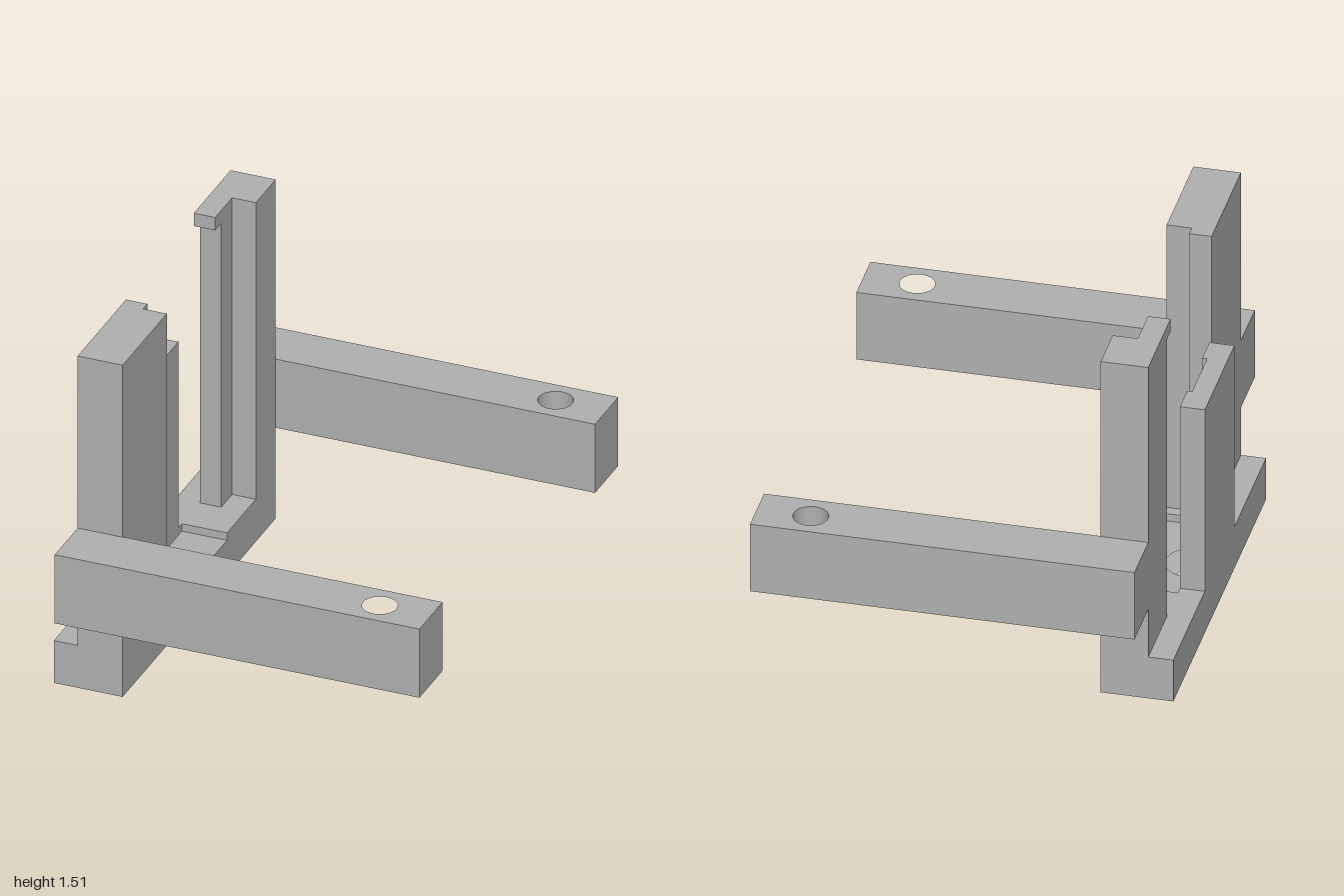
import * as THREE from 'three';

const BACK = -0.82, MID = -0.72, LIP = -0.63, FRONT = -0.53; // x planes of the upright frame
const GROOVE = -0.74;
const SCREW_X = -0.71;

export function createModel() {
  const model = new THREE.Group();
  model.name = 'holderBracket';
  const grey = new THREE.MeshStandardMaterial({ color: 0xb0b0b0 });
  grey.name = 'grey';

  // Extrude a plan outline of [x, z] points upward from y0 to y1, with round holes [x, z, r]
  function slab(name, points, y0, y1, holes = []) {
    const shape = new THREE.Shape(points.map(([x, z]) => new THREE.Vector2(x, -z)));
    for (const [x, z, r] of holes) {
      shape.holes.push(new THREE.Path().absarc(x, -z, r, 0, Math.PI * 2, true));
    }
    const geo = new THREE.ExtrudeGeometry(shape, {
      depth: y1 - y0, bevelEnabled: false, curveSegments: 24,
    });
    geo.rotateX(-Math.PI / 2);
    geo.translate(0, y0, 0);
    const mesh = new THREE.Mesh(geo, grey);
    mesh.name = name;
    model.add(mesh);
  }

  const rect = (x0, x1, z0, z1) => [[x0, z0], [x1, z0], [x1, z1], [x0, z1]];

  // Round pocket around the screw axis, cut into a wall whose face is at faceX
  function pocket(faceX, r) {
    const a = Math.acos((faceX - SCREW_X) / r);
    const pts = [];
    for (let i = 0; i <= 24; i++) {
      const t = a + (2 * Math.PI - 2 * a) * i / 24;
      pts.push([SCREW_X + r * Math.cos(t), r * Math.sin(t)]);
    }
    return pts;
  }

  // Base: screw hole, counterbore, then a shallow recess in the top
  const plan = rect(BACK, FRONT, -0.77, 0.77);
  slab('baseBottom', plan, 0, 0.1, [[SCREW_X, 0, 0.055]]);
  slab('baseCounterbore', plan, 0.1, 0.155, [[SCREW_X, 0, 0.105]]);
  slab('baseRecess', [
    [BACK, 0.77], [FRONT, 0.77], [FRONT, 0.28], [MID, 0.28],
    ...pocket(MID, 0.105),
    [MID, -0.28], [FRONT, -0.28], [FRONT, -0.77], [BACK, -0.77],
  ], 0.155, 0.188);

  // Back panel with a shallow vertical groove and screw clearance at its foot
  const panel = (cut) => [
    [BACK, 0.245], [MID, 0.245], [MID, 0.125], [GROOVE, 0.125],
    ...cut,
    [GROOVE, -0.125], [MID, -0.125], [MID, -0.245], [BACK, -0.245],
  ];
  slab('panelFoot', panel(pocket(GROOVE, 0.105)), 0.188, 0.217);
  slab('panelLower', panel(pocket(GROOVE, 0.05)), 0.217, 0.31);
  slab('backPanel', panel([]), 0.31, 1.015);

  // Wide post with a narrow guide lip
  slab('widePost', [
    [MID, 0.77], [FRONT, 0.77], [FRONT, 0.325], [LIP, 0.325], [LIP, 0.283], [MID, 0.283],
  ], 0.188, 1.475);

  // Narrow post with a guide lip and a hook at the top
  const narrow = (lipZ) => [
    [MID, -0.77], [FRONT, -0.77], [FRONT, -0.57], [LIP, -0.57], [LIP, lipZ], [MID, lipZ],
  ];
  slab('narrowPost', narrow(-0.46), 0.188, 1.45);
  slab('postHook', narrow(-0.4), 1.45, 1.507);

  // Mirrored side arms with vertical bolt holes
  for (const [side, s] of [['front', 1], ['back', -1]]) {
    slab(side + 'Arm', rect(MID, 0.815, s * 0.767, s), 0.405, 0.71, [[0.6, s * 0.885, 0.07]]);
  }

  return model;
}
